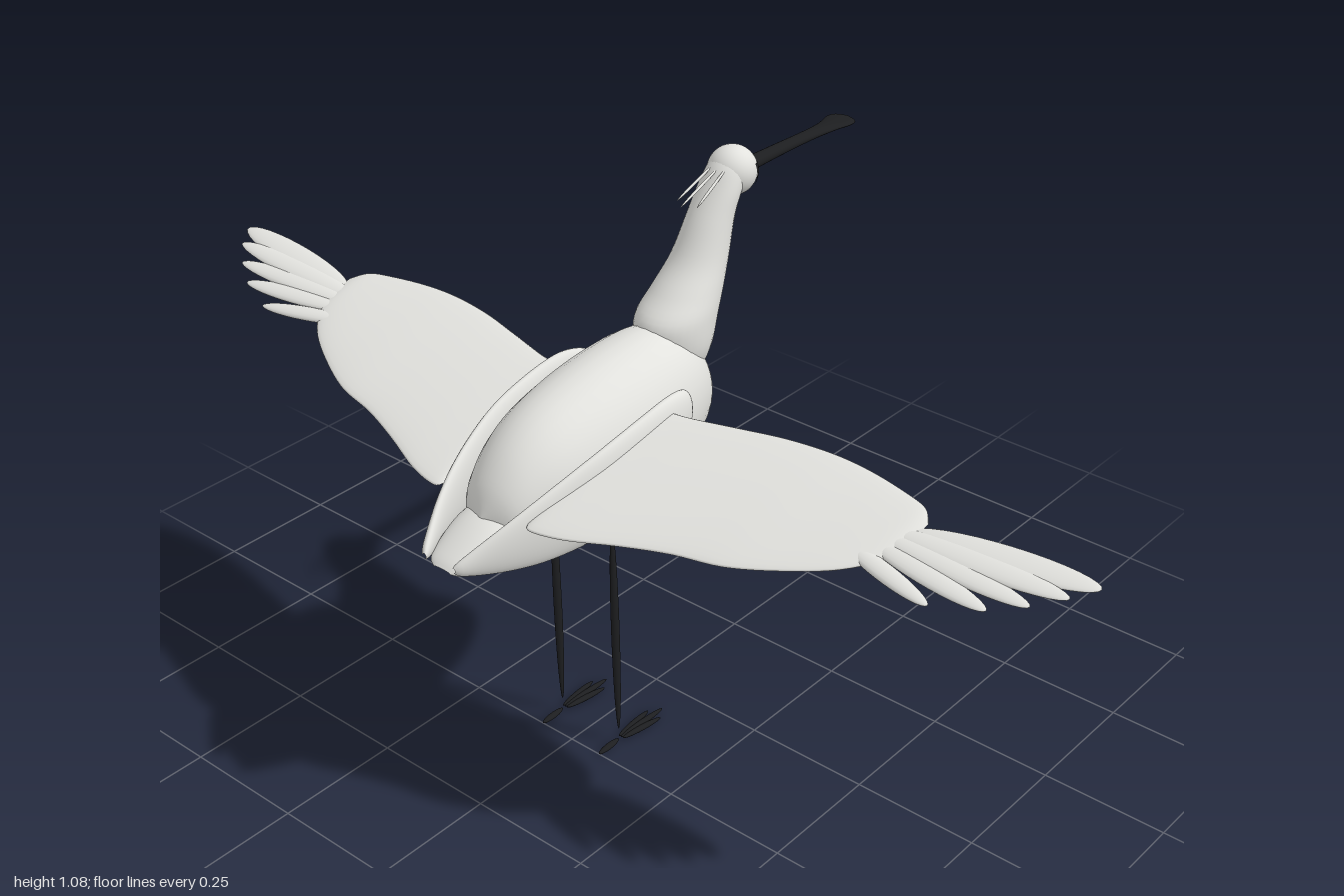
import * as THREE from 'three';

const plumage = new THREE.MeshStandardMaterial({ color: 0xe2e2de });
plumage.name = 'pale plumage';
const dark = new THREE.MeshStandardMaterial({ color: 0x1d1e20 });
dark.name = 'black skin';

// Smooth interpolation of one column of a section table
function sample(rows, t, k) {
  const i = Math.min(Math.floor(t), rows.length - 2);
  const at = (n) => rows[Math.max(0, Math.min(rows.length - 1, n))][k] ?? 0;
  const [p0, p1, p2, p3] = [at(i - 1), at(i), at(i + 1), at(i + 2)];
  const f = t - i;
  return p1 + 0.5 * f * (p2 - p0 + f * (2 * p0 - 5 * p1 + 4 * p2 - p3 + f * (3 * (p1 - p2) + p3 - p0)));
}

// Elliptical loft; a section is [position, high edge, low edge, half depth, depth centre]
function loft(rows, map = (a, b, c) => [a, b, c], sides = 32, steps = 5) {
  const pos = [], idx = [], n = (rows.length - 1) * steps;
  for (let j = 0; j <= n; j++) {
    const [a, hi, lo, d, dc] = [0, 1, 2, 3, 4].map((k) => sample(rows, j / steps, k));
    for (let i = 0; i < sides; i++) {
      const u = (i / sides) * Math.PI * 2;
      pos.push(...map(a, (hi + lo) / 2 + Math.cos(u) * (hi - lo) / 2, dc + Math.sin(u) * d));
      if (j === n) continue;
      const p = j * sides + i, q = j * sides + (i + 1) % sides;
      idx.push(p, q, p + sides, q, q + sides, p + sides);
    }
  }
  // Keep the faces outward whichever way the loft is mapped
  let volume = 0;
  const v = (i) => new THREE.Vector3().fromArray(pos, i * 3);
  for (let i = 0; i < idx.length; i += 3) volume += v(idx[i]).dot(v(idx[i + 1]).cross(v(idx[i + 2])));
  if (volume < 0) idx.reverse();
  const g = new THREE.BufferGeometry();
  g.setAttribute('position', new THREE.Float32BufferAttribute(pos, 3));
  g.setIndex(idx);
  g.computeVertexNormals();
  return g;
}

// Flattened spindle between two points
function spindle(from, to, width, height, up = [0, 1, 0]) {
  const a = new THREE.Vector3(...from), b = new THREE.Vector3(...to);
  const x = b.clone().sub(a), half = x.length() / 2;
  x.normalize();
  const z = x.clone().cross(new THREE.Vector3(...up)).normalize();
  const y = z.clone().cross(x);
  const g = new THREE.SphereGeometry(1, 16, 16).rotateZ(-Math.PI / 2);
  g.scale(half, height / 2, width / 2);
  g.applyMatrix4(new THREE.Matrix4().makeBasis(x, y, z).setPosition(a.add(b).multiplyScalar(0.5)));
  return g;
}

export function createModel() {
  const model = new THREE.Group();
  model.name = 'wadingBird';
  const add = (name, geometry, material = plumage) => {
    const mesh = new THREE.Mesh(geometry, material);
    mesh.name = name;
    model.add(mesh);
  };

  // Body and tail
  add('body', loft([
    [-0.465, 0.61, 0.59, 0.005], [-0.44, 0.665, 0.535, 0.06], [-0.39, 0.72, 0.498, 0.09],
    [-0.32, 0.76, 0.476, 0.112], [-0.22, 0.787, 0.469, 0.125], [-0.11, 0.802, 0.485, 0.125],
    [-0.02, 0.803, 0.512, 0.112], [0.05, 0.775, 0.548, 0.088], [0.09, 0.725, 0.58, 0.058],
    [0.105, 0.66, 0.615, 0.02], [0.107, 0.64, 0.635, 0.003],
  ]));
  add('tail', loft([
    [-0.56, 0.556, 0.55, 0.02], [-0.54, 0.572, 0.544, 0.045], [-0.47, 0.61, 0.548, 0.062], [-0.4, 0.63, 0.56, 0.06],
  ]));

  // Neck and head
  add('neck', loft([
    [0.695, 0.085, 0.03, 0.03], [0.71, 0.102, 0.0, 0.055], [0.75, 0.122, -0.025, 0.07],
    [0.805, 0.144, -0.03, 0.07], [0.85, 0.161, 0.015, 0.062], [0.9, 0.178, 0.065, 0.052],
    [0.97, 0.197, 0.108, 0.044], [1.02, 0.22, 0.142, 0.042], [1.055, 0.235, 0.167, 0.034],
    [1.078, 0.225, 0.195, 0.014],
  ], (a, b, c) => [b, a, c]));
  add('head', new THREE.SphereGeometry(0.047, 32, 24).translate(0.212, 1.035, 0));

  // Bare face patch and flattened bill with a broad tip
  add('facePatch', new THREE.SphereGeometry(0.0485, 32, 16, Math.PI - 1.25, 2.5, 1.15, 1.1)
    .translate(0.212, 1.033, 0), dark);
  add('bill', loft([
    [0.235, 1.046, 1.014, 0.018], [0.28, 1.043, 1.017, 0.015], [0.36, 1.041, 1.019, 0.014],
    [0.44, 1.038, 1.02, 0.015], [0.5, 1.035, 1.021, 0.021], [0.535, 1.034, 1.023, 0.03],
    [0.556, 1.033, 1.025, 0.026], [0.565, 1.031, 1.028, 0.005],
  ], undefined, 20), dark);

  // Crest plumes at the back of the head
  for (const z of [-0.018, 0, 0.018]) {
    add('crestPlume', spindle([0.18, 1.055, z * 0.8], [0.066 + Math.abs(z), 1.01, z * 1.3], 0.006, 0.005));
  }

  for (const s of [1, -1]) {
    const side = s > 0 ? 'left' : 'right';

    // Folded covert shell along the flank
    add(side + 'FlankCovert', loft([
      [-0.567, 0.576, 0.566, 0.004, 0.035], [-0.55, 0.592, 0.556, 0.01, 0.045],
      [-0.48, 0.638, 0.545, 0.014, 0.078], [-0.4, 0.678, 0.54, 0.017, 0.104],
      [-0.3, 0.715, 0.546, 0.02, 0.124], [-0.2, 0.738, 0.567, 0.022, 0.13],
      [-0.12, 0.748, 0.6, 0.022, 0.128], [-0.065, 0.738, 0.645, 0.018, 0.12],
      [-0.042, 0.712, 0.685, 0.006, 0.115],
    ], (a, b, c) => [a, b, s * c]));

    // Outstretched wing: leading and trailing edges by span
    add(side + 'Wing', loft([
      [0.1, -0.14, -0.45, 0.002], [0.115, -0.125, -0.463, 0.011], [0.18, -0.115, -0.45, 0.012],
      [0.27, -0.095, -0.415, 0.012], [0.36, -0.076, -0.385, 0.012], [0.45, -0.067, -0.365, 0.012],
      [0.53, -0.07, -0.33, 0.011], [0.61, -0.083, -0.283, 0.01], [0.66, -0.097, -0.235, 0.008],
      [0.685, -0.125, -0.19, 0.002],
    ], (a, b, c) => [b, 0.735 + (b + 0.07) * 0.26 + c, s * a]));

    // Primary feathers fanned at the wing tip: base x, base z, tip x, tip z, tip y, width
    for (const [bx, bz, tx, tz, ty, w] of [
      [-0.15, 0.67, -0.118, 1.0, 0.731, 0.062], [-0.165, 0.63, -0.16, 0.97, 0.722, 0.05],
      [-0.18, 0.62, -0.2, 0.925, 0.708, 0.045], [-0.2, 0.62, -0.236, 0.87, 0.695, 0.042],
      [-0.22, 0.58, -0.27, 0.785, 0.684, 0.036],
    ]) {
      add(side + 'PrimaryFeather', spindle([bx, 0.735 + (bx + 0.07) * 0.26, s * bz], [tx, ty, s * tz], w, 0.016, [-0.25, 1, 0]));
    }

    // Leg and toes
    add(side + 'Leg', spindle([-0.209, 0.5, s * 0.073], [-0.196, 0.032, s * 0.073], 0.014, 0.018, [1, 0, 0]), dark);
    for (const spread of [-0.016, 0, 0.016]) {
      add(side + 'FrontToe', spindle([-0.19, 0.008, s * 0.073 + spread * 0.3],
        [-0.068 - Math.abs(spread) * 1.5, 0.005, s * 0.073 + spread], 0.013, 0.01), dark);
    }
    add(side + 'BackToe', spindle([-0.197, 0.008, s * 0.073], [-0.253, 0.005, s * 0.073], 0.014, 0.01), dark);
  }
  return model;
}
